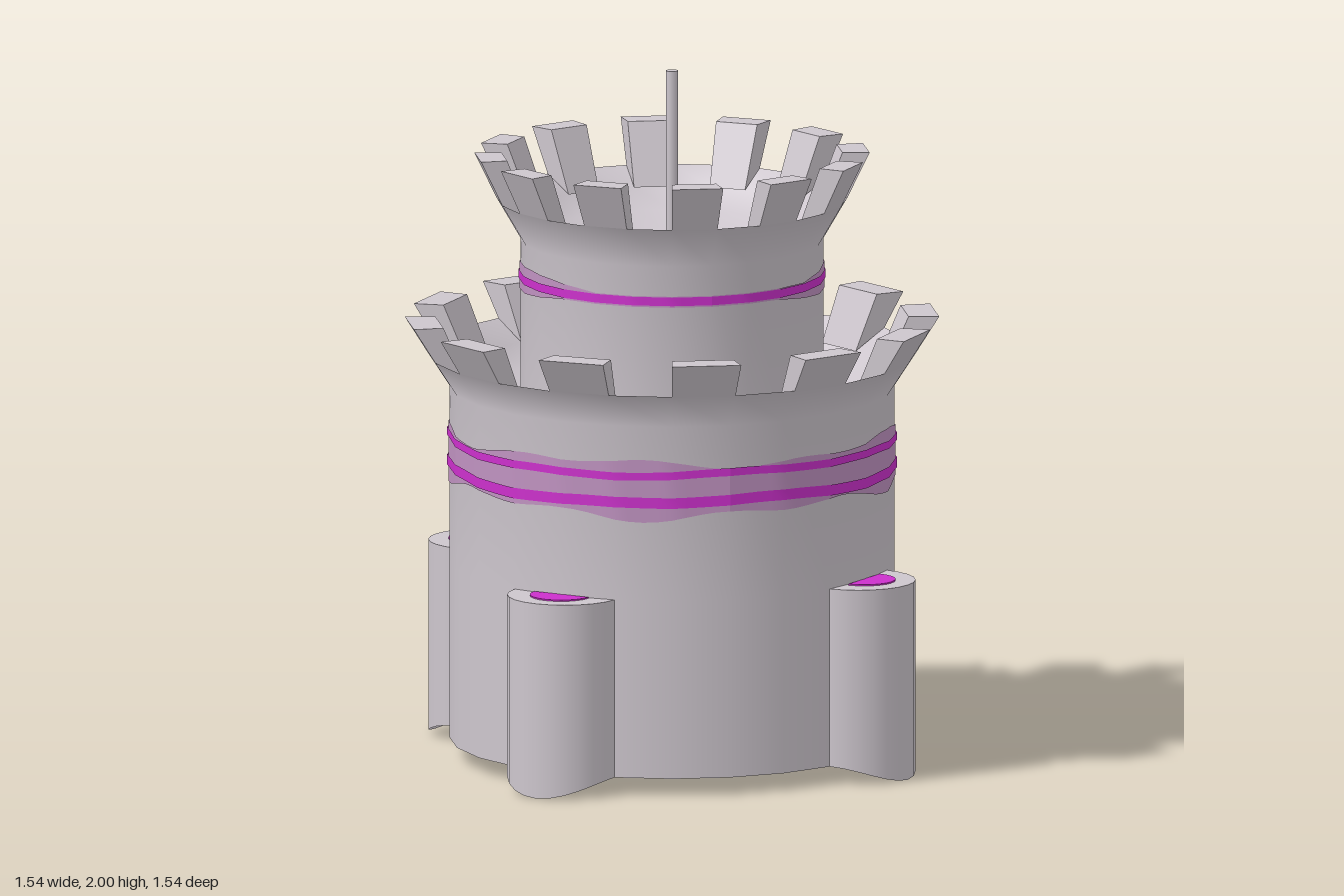
import * as THREE from 'three';

const SIDES = 24;
const STEP = (Math.PI * 2) / SIDES;

const material = (name, color) => {
  const m = new THREE.MeshStandardMaterial({ color, side: THREE.DoubleSide });
  m.name = name;
  return m;
};

function add(parent, name, geometry, mat) {
  const mesh = new THREE.Mesh(geometry, mat);
  mesh.name = name;
  parent.add(mesh);
  return mesh;
}

// Turned 24-sided surface from [radius, height] points
const turned = (points) =>
  new THREE.LatheGeometry(points.map(([r, y]) => new THREE.Vector2(r, y)), SIDES);

// Battlement block: a box bent onto one 15 degree step of the rim
function merlonGeometry(angle, p) {
  const g = new THREE.BoxGeometry(1, 1, 1).toNonIndexed();
  const pos = g.attributes.position;
  for (let i = 0; i < pos.count; i++) {
    const outer = pos.getX(i) > 0, top = pos.getY(i) > 0;
    const [r, y] = top ? (outer ? p.outerTop : p.innerTop) : (outer ? p.outerBase : p.innerBase);
    const a = angle + (pos.getZ(i) > 0 ? STEP : 0);
    pos.setXYZ(i, r * Math.cos(a), y, r * Math.sin(a));
  }
  g.computeVertexNormals();
  return g;
}

function battlements(parent, name, mat, profile) {
  const ring = new THREE.Group();
  ring.name = name;
  for (let k = 0; k < SIDES / 2; k++) add(ring, 'merlon', merlonGeometry(k * 2 * STEP, profile), mat);
  parent.add(ring);
}

// Painted band following the 24-sided wall between two wavy heights
function bandGeometry(radius, low, high) {
  const n = SIDES * 4, pos = [], index = [];
  for (let i = 0; i <= n; i++) {
    const a = (i / n) * Math.PI * 2;
    const offset = (a % STEP) - STEP / 2;
    const r = (radius * Math.cos(STEP / 2)) / Math.cos(offset);
    const x = r * Math.sin(a), z = r * Math.cos(a);
    pos.push(x, low(a), z, x, high(a), z);
    if (i < n) {
      const b = i * 2;
      index.push(b, b + 2, b + 1, b + 1, b + 2, b + 3);
    }
  }
  const g = new THREE.BufferGeometry();
  g.setAttribute('position', new THREE.Float32BufferAttribute(pos, 3));
  g.setIndex(index);
  g.computeVertexNormals();
  return g;
}

export function createModel() {
  const model = new THREE.Group();
  model.name = 'roundTower';
  const stone = material('paleStone', 0xcdc6cd);
  const magenta = material('magentaPaint', 0xcc30cc);
  const haze = material('mauveHaze', 0xbf92c0);

  // Lower drum with its flared rim and the walkway inside
  add(model, 'lowerDrum', turned([[0.64, 0.57], [0.64, 1.08], [0.705, 1.18]]), stone);
  add(model, 'lowerWalkway', turned([[0.705, 1.18], [0.62, 1.12], [0.57, 1.06], [0.435, 1.04]]), stone);
  battlements(model, 'lowerBattlements', stone, {
    outerBase: [0.705, 1.18], outerTop: [0.768, 1.28], innerTop: [0.68, 1.28], innerBase: [0.61, 1.12],
  });

  // Upper drum with its bowl-shaped roof
  add(model, 'upperDrum', turned([[0.435, 1.04], [0.435, 1.51], [0.505, 1.63]]), stone);
  add(model, 'roofBowl', turned([[0.505, 1.63], [0.43, 1.58], [0.38, 1.52], [0.22, 1.475], [0, 1.465]]), stone);
  battlements(model, 'upperBattlements', stone, {
    outerBase: [0.505, 1.63], outerTop: [0.568, 1.76], innerTop: [0.49, 1.76], innerBase: [0.42, 1.58],
  });

  // Flagpole
  add(model, 'flagpole', new THREE.CylinderGeometry(0.018, 0.018, 0.54, 12), stone).position.y = 1.73;

  // Open base: four wall panels alternating with four half-round buttresses
  for (let q = 0; q < 4; q++) {
    const panel = new THREE.CylinderGeometry(
      0.64, 0.64, 0.52, 4, 1, true, Math.PI / 3 + (q * Math.PI) / 2, Math.PI / 3);
    add(model, 'basePanel', panel, stone).position.y = 0.31;

    const buttress = new THREE.Group();
    buttress.name = 'buttress';
    buttress.rotation.y = Math.PI / 4 + (q * Math.PI) / 2;

    // Wall whose foot dips lower towards the tip
    const wall = new THREE.CylinderGeometry(0.165, 0.165, 0.52, 12, 1, true, 0, Math.PI);
    wall.translate(0.618, 0.31, 0);
    const pos = wall.attributes.position;
    for (let i = 0; i < pos.count; i++) {
      const out = (pos.getX(i) - 0.618) / 0.165;
      if (pos.getY(i) < 0.1) pos.setY(i, 0.05 - 0.05 * out * out);
    }
    add(buttress, 'buttressWall', wall, stone);

    const cap = new THREE.CircleGeometry(0.165, 12, -Math.PI / 2, Math.PI);
    cap.rotateX(-Math.PI / 2).translate(0.618, 0.57, 0);
    add(buttress, 'buttressCap', cap, stone);

    // Thin painted half disc on the cap
    const spot = new THREE.CylinderGeometry(0.09, 0.09, 0.008, 12, 1, false, 0, Math.PI);
    spot.translate(0.638, 0.57, 0);
    add(buttress, 'capPaint', spot, magenta);
    model.add(buttress);
  }

  // Painted stripes over a soft, uneven haze
  const wave = (a) => 0.005 * Math.sin(3 * a + 1) + 0.003 * Math.sin(7 * a);
  const blot = (a) => 0.012 * Math.sin(4 * a) + 0.01 * Math.sin(9 * a + 2);
  const stripe = (name, mat, r, low, high) => add(model, name, bandGeometry(r, low, high), mat);
  stripe('lowerHaze', haze, 0.643, (a) => 0.82 + blot(a), (a) => 0.968 + blot(a + 1) * 0.8);
  stripe('lowerStripe', magenta, 0.646, (a) => 0.843 + wave(a), (a) => 0.874 + wave(a));
  stripe('middleStripe', magenta, 0.646, (a) => 0.927 + wave(a + 2), (a) => 0.95 + wave(a + 2));
  stripe('upperHaze', haze, 0.438,
    (a) => 1.39 - 0.025 * Math.max(0, Math.sin(2 * a - 1)),
    (a) => 1.422 + 0.025 * Math.max(0, -Math.cos(2 * a)));
  stripe('upperStripe', magenta, 0.441, () => 1.395, () => 1.42);

  return model;
}
